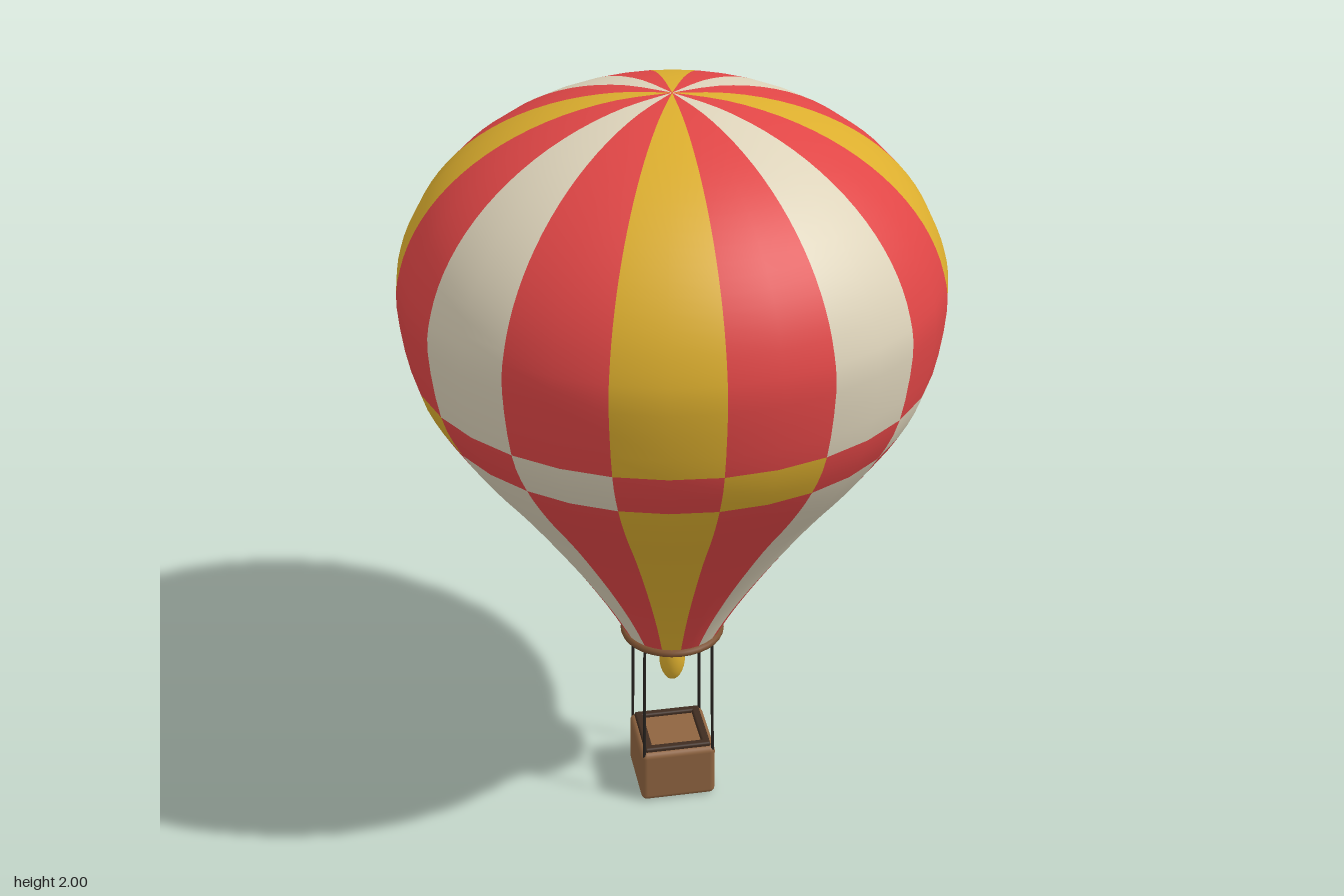
import * as THREE from 'three';
import { RoundedBoxGeometry } from 'three/addons/geometries/RoundedBoxGeometry.js';

const mat = (name, color, side = THREE.FrontSide) => {
  const m = new THREE.MeshStandardMaterial({ color, side });
  m.name = name;
  return m;
};

export function createModel() {
  const group = new THREE.Group();
  group.name = 'hotAirBalloon';

  const red = mat('red fabric', 0xe04646, THREE.DoubleSide);
  const cream = mat('cream fabric', 0xddd3ba, THREE.DoubleSide);
  const yellow = mat('golden yellow', 0xdcae2e, THREE.DoubleSide);
  const wicker = mat('wicker brown', 0x8f6440);
  const ringBrown = mat('ring brown', 0x7d5232);
  const trimDark = mat('dark trim', 0x3f2c20);
  const ropeDark = mat('dark rope', 0x26221f);

  const add = (name, geometry, material, x = 0, y = 0, z = 0) => {
    const mesh = new THREE.Mesh(geometry, material);
    mesh.name = name;
    mesh.position.set(x, y, z);
    group.add(mesh);
    return mesh;
  };

  // Envelope profile: concave skirt, checker band, elliptical crown
  const control = [
    [0.125, 0.5], [0.185, 0.61], [0.28, 0.76], [0.41, 0.945], [0.515, 1.08],
    [0.598, 1.205], [0.65, 1.325], [0.675, 1.5],
  ].map(([r, y]) => new THREE.Vector2(r, y));
  const crownSteps = 8;
  for (let i = 1; i <= crownSteps; i++) {
    const a = (i / crownSteps) * Math.PI / 2;
    control.push(new THREE.Vector2(0.675 * Math.cos(a), 1.5 + 0.5 * Math.sin(a)));
  }
  const sub = 3;
  const rows = (control.length - 1) * sub;
  const profile = new THREE.SplineCurve(control).getPoints(rows);
  profile[rows].set(0, 2);

  // 16 gores of two segments each; the band takes the neighbouring gore's colour
  const segments = 32;
  const envelope = new THREE.LatheGeometry(profile, segments);
  const pattern = [0, 1, 0, 2];
  const bandStart = 5 * sub, bandEnd = 6 * sub;
  for (let s = 0; s < segments; s++) {
    const gore = Math.floor(s / 2);
    const main = pattern[gore % 4], swapped = pattern[(gore + 3) % 4];
    const base = s * rows;
    envelope.addGroup(base * 6, bandStart * 6, main);
    envelope.addGroup((base + bandStart) * 6, (bandEnd - bandStart) * 6, swapped);
    envelope.addGroup((base + bandEnd) * 6, (rows - bandEnd) * 6, main);
  }
  add('envelope', envelope, [red, cream, yellow]);

  // Mouth ring
  add('mouthRing', new THREE.TorusGeometry(0.127, 0.011, 10, 32), ringBrown, 0, 0.496, 0)
    .rotation.x = Math.PI / 2;

  // Burner flame
  add('burnerFlame', new THREE.SphereGeometry(1, 20, 14), yellow, 0, 0.402, 0)
    .scale.set(0.035, 0.073, 0.035);

  // Basket with raised dark rim
  add('basket', new RoundedBoxGeometry(0.204, 0.155, 0.204, 3, 0.016), wicker, 0, 0.0775, 0);
  for (const s of [-1, 1]) {
    add('basketRimSide', new RoundedBoxGeometry(0.022, 0.018, 0.18, 2, 0.006), trimDark, s * 0.079, 0.156, 0);
    add('basketRimEnd', new RoundedBoxGeometry(0.18, 0.018, 0.022, 2, 0.006), trimDark, 0, 0.156, s * 0.079);
  }

  // Four corner ropes
  for (const sx of [-1, 1]) for (const sz of [-1, 1]) {
    const path = new THREE.LineCurve3(
      new THREE.Vector3(sx * 0.094, 0.14, sz * 0.094),
      new THREE.Vector3(sx * 0.09, 0.495, sz * 0.09));
    add('rope', new THREE.TubeGeometry(path, 1, 0.004, 8), ropeDark);
  }

  return group;
}
